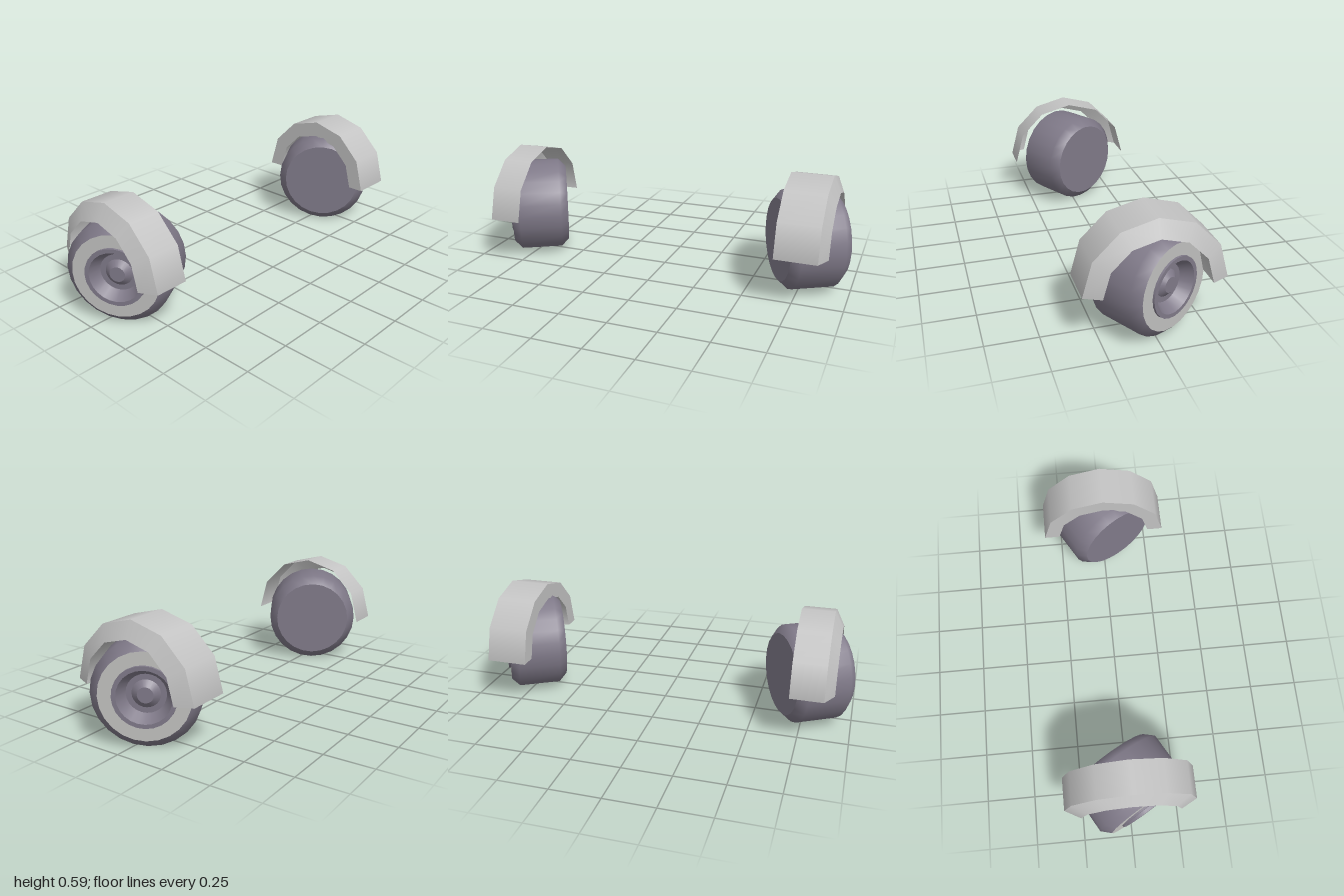
import * as THREE from 'three';

const purple = new THREE.MeshStandardMaterial({ color: 0x7f7988, side: THREE.DoubleSide });
purple.name = 'dusky purple';
const ringGrey = new THREE.MeshStandardMaterial({ color: 0xc0c0be });
ringGrey.name = 'ring grey';
const fenderGrey = new THREE.MeshStandardMaterial({ color: 0xc4c4c4, side: THREE.DoubleSide });
fenderGrey.name = 'fender grey';

const AXLE_Y = 0.252;

// Revolves a profile of [radius, distance along z] points around the z axis
function revolve(name, profile, material, sides = 24, start = 0, sweep = Math.PI * 2) {
  const points = profile.map(([r, d]) => new THREE.Vector2(r, d));
  const geometry = new THREE.LatheGeometry(points, sides, start, sweep);
  geometry.rotateX(Math.PI / 2);
  const mesh = new THREE.Mesh(geometry, material);
  mesh.name = name;
  return mesh;
}

// Each pair of neighbouring profile points becomes its own strip, so the edges stay sharp
function strips(name, profile, material, ...arc) {
  const group = new THREE.Group();
  group.name = name;
  for (let i = 0; i + 1 < profile.length; i++) {
    group.add(revolve(`${name}Face`, [profile[i], profile[i + 1]], material, ...arc));
  }
  return group;
}

// Tyre with bevelled shoulders, flat back, side ring and dished hub
function createWheel() {
  const wheel = new THREE.Group();
  wheel.name = 'wheel';
  wheel.add(
    revolve('tyre', [[0.21, -0.151], [0.252, -0.11], [0.252, 0.11], [0.21, 0.151]], purple),
    revolve('tyreBack', [[0, -0.151], [0.21, -0.151]], purple),
    revolve('sideRing', [[0.21, 0.151], [0.146, 0.151]], ringGrey),
    strips('hub', [
      [0.147, 0.151], [0.146, 0.161], [0.126, 0.161], [0.0925, 0.105],
      [0.066, 0.105], [0.0375, 0.13], [0, 0.13],
    ], purple),
  );
  return wheel;
}

// Half-round fender with a sloped outer face; a solid one also has inner walls and ends
function createFender(inner, shoulder, solid) {
  const profile = [[0.335, inner], [0.335, shoulder], [0.253, 0.914]];
  const path = solid ? [...profile, [0.253, inner], profile[0]] : profile;
  const fender = strips('fender', path, fenderGrey, 6, Math.PI / 2, Math.PI);
  if (solid) {
    for (const side of [-1, 1]) {
      const outline = [...profile, [0.253, inner]].map(([r, d]) => new THREE.Vector2(side * r, d));
      const end = new THREE.ShapeGeometry(new THREE.Shape(outline));
      end.rotateX(Math.PI / 2);
      const mesh = new THREE.Mesh(end, fenderGrey);
      mesh.name = 'fenderEnd';
      fender.add(mesh);
    }
  }
  fender.position.y = AXLE_Y;
  return fender;
}

// Steered wheel and its fender, facing +z
function createAssembly(name, inner, shoulder, solid) {
  const assembly = new THREE.Group();
  assembly.name = name;
  const wheel = createWheel();
  wheel.position.set(0, AXLE_Y, 0.764);
  wheel.rotation.y = Math.PI / 6;
  assembly.add(wheel, createFender(inner, shoulder, solid));
  return assembly;
}

export function createModel() {
  const model = new THREE.Group();
  model.name = 'wheelsWithFenders';
  const front = createAssembly('frontWheelAssembly', 0.705, 0.87, false);
  const back = createAssembly('backWheelAssembly', 0.667, 0.877, true);
  back.rotation.y = Math.PI;
  model.add(front, back);
  return model;
}
